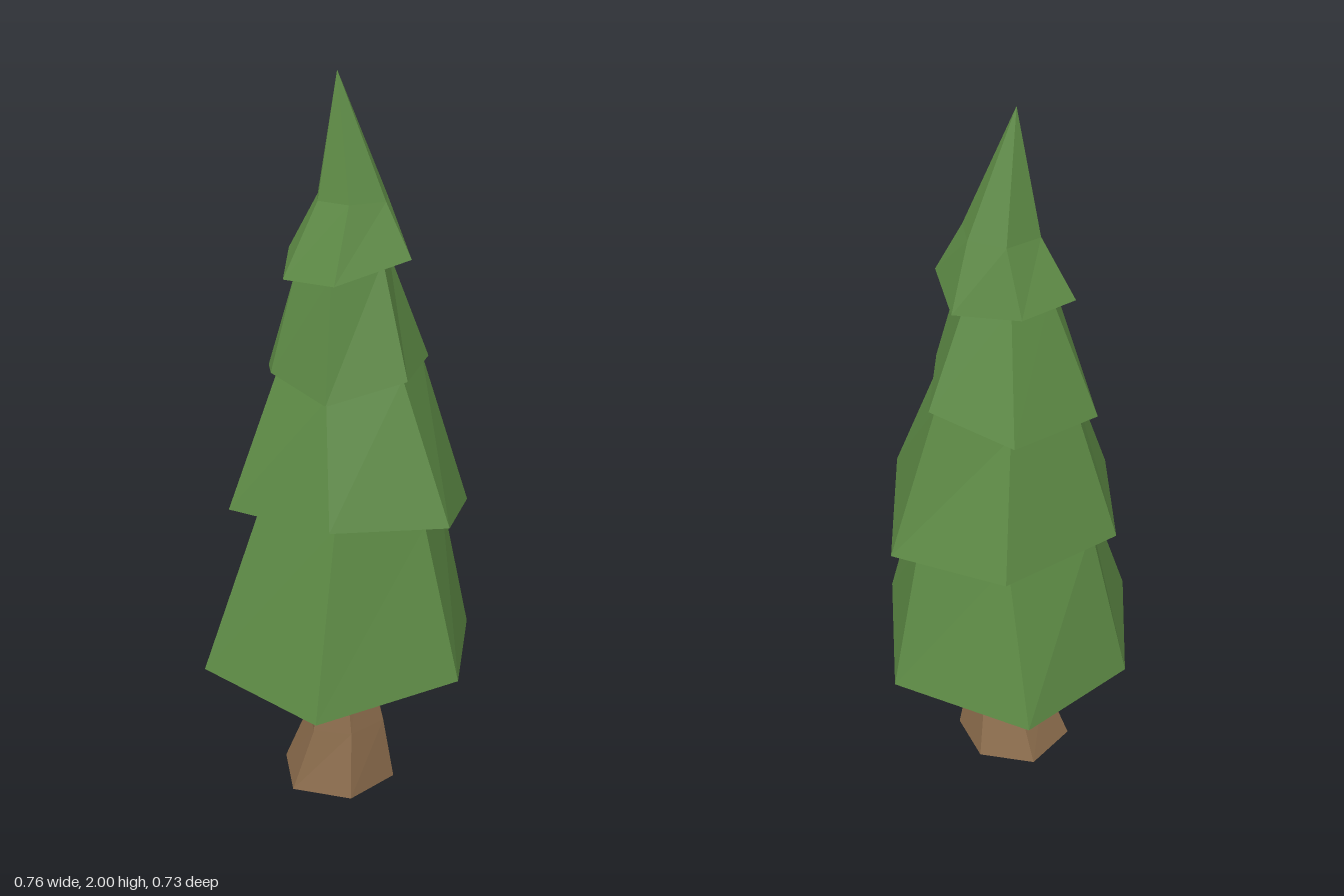
import * as THREE from 'three';

// Faceted skin through six-cornered rings (left, front-left, front-right, right,
// back-right, back-left), listed from bottom to top, with a closed base.
function skin(rings, apex) {
  const pos = [];
  const tri = (a, b, c) => pos.push(...a, ...b, ...c);
  const n = rings[0].length;
  const base = [0, 1, 2].map(k => rings[0].reduce((s, p) => s + p[k], 0) / n);
  for (let i = 0; i < n; i++) {
    const j = (i + 1) % n;
    tri(base, rings[0][j], rings[0][i]);
    for (let r = 0; r < rings.length - 1; r++) {
      const a = rings[r], b = rings[r + 1];
      tri(a[i], a[j], b[j]);
      tri(a[i], b[j], b[i]);
    }
    const top = rings[rings.length - 1];
    tri(top[i], top[j], apex);
  }
  const geo = new THREE.BufferGeometry();
  geo.setAttribute('position', new THREE.Float32BufferAttribute(pos, 3));
  geo.computeVertexNormals();
  return geo;
}

export function createModel() {
  const needleGreen = new THREE.MeshStandardMaterial({ color: 0x5d8a45, flatShading: true });
  needleGreen.name = 'needle green';
  const barkBrown = new THREE.MeshStandardMaterial({ color: 0x8a6b4b, flatShading: true });
  barkBrown.name = 'bark brown';

  const tree = new THREE.Group();
  tree.name = 'pineTree';
  const add = (name, geo, mat) => {
    const mesh = new THREE.Mesh(geo, mat);
    mesh.name = name;
    tree.add(mesh);
  };

  // Trunk: flared foot, leaning slightly, ending inside the foliage
  add('trunk', skin([
    [[-0.19, 0, 0.05], [-0.065, 0, 0.19], [0.1, 0, 0.14], [0.135, 0, -0.03], [0.02, 0, -0.14], [-0.14, 0, -0.11]],
    [[-0.11, 0.18, 0.05], [-0.025, 0.18, 0.14], [0.075, 0.18, 0.1], [0.105, 0.18, -0.02], [0.03, 0.18, -0.08], [-0.07, 0.18, -0.06]],
    [[-0.115, 0.42, 0.03], [-0.05, 0.42, 0.09], [0.03, 0.42, 0.07], [0.045, 0.42, 0], [0, 0.42, -0.07], [-0.08, 0.42, -0.06]],
  ], [-0.03, 0.42, 0.01]), barkBrown);

  // Lower foliage: flared skirt and the narrow neck under the next tier
  const skirts = [
    // bottom tier
    [[-0.38, 0.375, -0.018], [-0.255, 0.395, 0.335], [0.135, 0.355, 0.36], [0.38, 0.415, 0.04], [0.195, 0.39, -0.335], [-0.22, 0.39, -0.365]],
    [[-0.26, 0.835, -0.01], [-0.145, 0.85, 0.22], [0.11, 0.865, 0.23], [0.265, 0.84, 0.035], [0.15, 0.815, -0.245], [-0.11, 0.84, -0.245]],
    // second tier
    [[-0.33, 0.83, -0.005], [-0.2, 0.865, 0.278], [0.135, 0.88, 0.293], [0.355, 0.865, 0.062], [0.215, 0.8, -0.28], [-0.14, 0.843, -0.333]],
    [[-0.2, 1.21, 0], [-0.115, 1.238, 0.165], [0.067, 1.2, 0.205], [0.2, 1.24, 0.05], [0.115, 1.235, -0.185], [-0.095, 1.2, -0.19]],
    // third tier
    [[-0.26, 1.19, 0.007], [-0.125, 1.235, 0.18], [0.075, 1.19, 0.22], [0.222, 1.24, 0.062], [0.13, 1.23, -0.195], [-0.115, 1.187, -0.215]],
    [[-0.125, 1.525, 0], [-0.085, 1.5, 0.12], [0.05, 1.51, 0.155], [0.13, 1.54, 0.04], [0.06, 1.525, -0.1], [-0.06, 1.52, -0.1]],
  ];
  // Crown: bottom edge and waist below the pointed tip
  const crown = [
    [[-0.195, 1.525, -0.005], [-0.095, 1.485, 0.162], [0.08, 1.495, 0.187], [0.187, 1.54, -0.007], [0.08, 1.5, -0.15], [-0.1, 1.51, -0.13]],
    [[-0.1, 1.68, -0.005], [-0.042, 1.68, 0.08], [0.057, 1.68, 0.085], [0.11, 1.68, -0.005], [0.06, 1.68, -0.09], [-0.045, 1.68, -0.095]],
  ];
  add('foliage', skin([...skirts, ...crown], [-0.027, 2, 0.012]), needleGreen);
  return tree;
}
